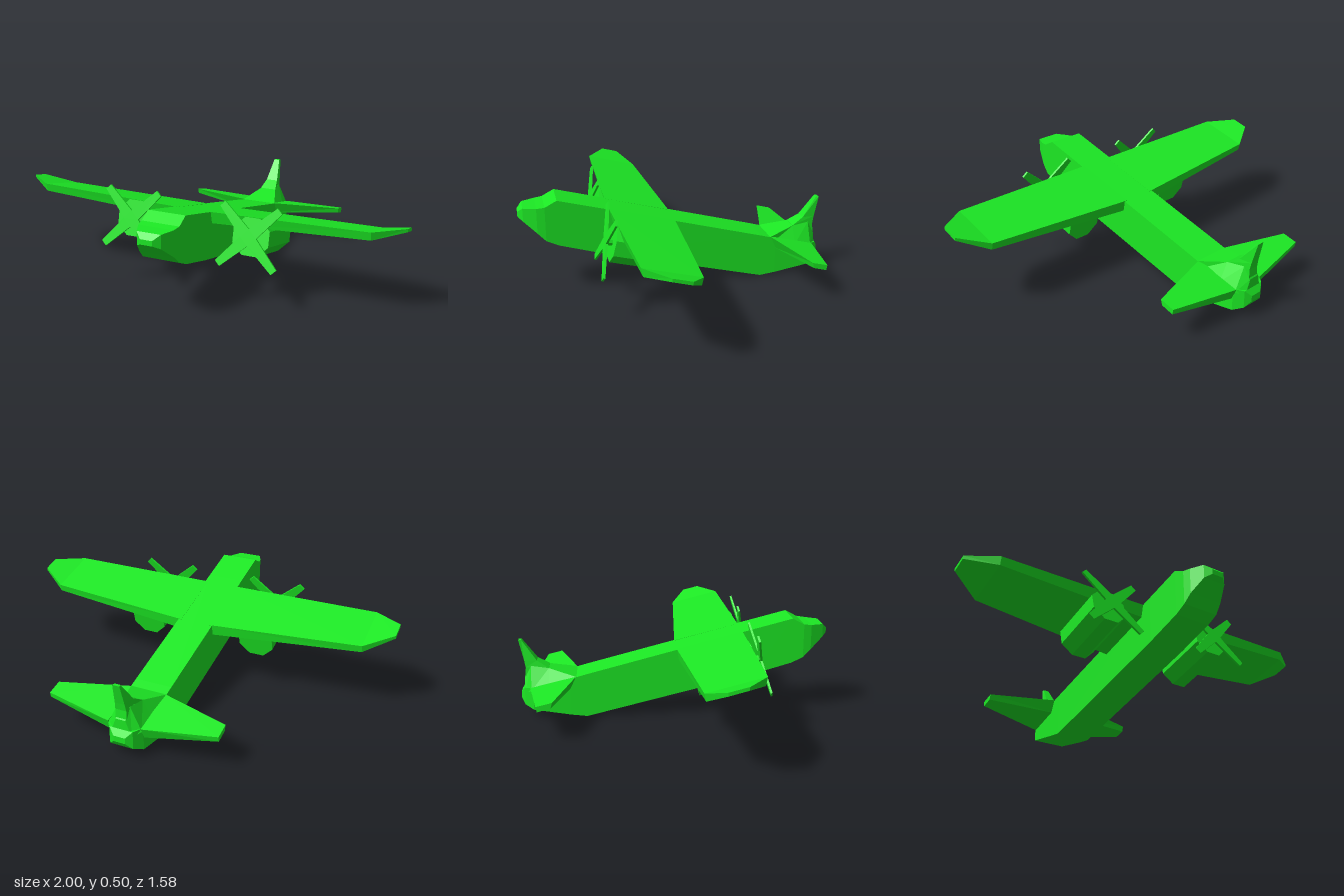
import * as THREE from 'three';

const material = new THREE.MeshStandardMaterial({ color: 0x1ce824, flatShading: true });

// Closed solid through a list of rings, each ring holding the same number of [x, y, z] corners.
function loft(name, rings) {
  const tris = [];
  const n = rings[0].length;
  for (let i = 0; i < rings.length - 1; i++) {
    for (let j = 0; j < n; j++) {
      const k = (j + 1) % n;
      const a = rings[i][j], b = rings[i][k], c = rings[i + 1][k], d = rings[i + 1][j];
      tris.push([a, b, c], [a, c, d]);
    }
  }
  const last = rings[rings.length - 1];
  for (let j = 1; j < n - 1; j++) {
    tris.push([rings[0][0], rings[0][j + 1], rings[0][j]], [last[0], last[j], last[j + 1]]);
  }
  // Turn all faces outward, whichever way the rings run
  let volume = 0;
  for (const [a, b, c] of tris) {
    volume += new THREE.Vector3(...a).dot(new THREE.Vector3(...b).cross(new THREE.Vector3(...c)));
  }
  if (volume < 0) tris.forEach((t) => t.reverse());
  const geometry = new THREE.BufferGeometry();
  geometry.setAttribute('position', new THREE.Float32BufferAttribute(tris.flat(2), 3));
  geometry.computeVertexNormals();
  const mesh = new THREE.Mesh(geometry, material);
  mesh.name = name;
  return mesh;
}

// Wing-like panel: stations of x followed by a [z, y] outline, mirrored by side
const panel = (name, side, stations) =>
  loft(name, stations.map(([x, outline]) => outline.map(([z, y]) => [side * x, y, z])));

// Box-section body; stations are [z, bottom, top, half width at bottom, half width at top]
const body = (name, stations) =>
  loft(name, stations.map(([z, b, t, wb, wt = wb]) => [[-wb, b, z], [wb, b, z], [wt, t, z], [-wt, t, z]]));

function propeller() {
  const star = new THREE.Shape();
  for (let i = 0; i < 4; i++) {
    const a = Math.PI / 4 + (i * Math.PI) / 2;
    const at = (r, t) => [r * Math.cos(t), r * Math.sin(t)];
    if (i === 0) star.moveTo(...at(0.2, a - 0.085));
    else star.lineTo(...at(0.2, a - 0.085));
    star.lineTo(...at(0.2, a + 0.085));
    star.lineTo(...at(0.04, a + Math.PI / 4));
  }
  const mesh = new THREE.Mesh(new THREE.ExtrudeGeometry(star, { depth: 0.01, bevelEnabled: false }), material);
  mesh.name = 'propeller';
  return mesh;
}

function engine(side) {
  const group = new THREE.Group();
  group.name = side > 0 ? 'leftEngine' : 'rightEngine';
  // Eight-sided nacelle with flat top and bottom
  const r = 0.09 / Math.cos(Math.PI / 8);
  const nacelle = new THREE.Mesh(
    new THREE.CylinderGeometry(r, r, 0.296, 8).rotateY(Math.PI / 8).rotateX(Math.PI / 2).translate(0, 0, -0.148),
    material);
  nacelle.name = 'nacelle';
  const shaft = new THREE.Mesh(new THREE.CylinderGeometry(0.02, 0.02, 0.04, 8).rotateX(Math.PI / 2), material);
  shaft.name = 'propellerShaft';
  shaft.position.z = 0.015;
  const blades = propeller();
  blades.position.z = 0.027;
  group.add(nacelle, shaft, blades);
  group.position.set(side * 0.31, 0.345, 0.365);
  group.rotation.x = -0.245;
  return group;
}

export function createModel() {
  const plane = new THREE.Group();
  plane.name = 'airplane';

  // Nose-up fuselage with stepped cockpit and blunt tail
  plane.add(body('fuselage', [
    [0.79, 0.405, 0.43, 0.03],
    [0.765, 0.388, 0.455, 0.06],
    [0.7, 0.33, 0.458, 0.088],
    [0.66, 0.29, 0.463, 0.095],
    [0.6, 0.262, 0.495, 0.095],
    [0.4, 0.205, 0.444, 0.095],
    [-0.45, 0, 0.225, 0.095],
    [-0.53, 0.01, 0.203, 0.095],
    [-0.72, 0.04, 0.155, 0.09],
    [-0.765, 0.06, 0.15, 0.06],
    [-0.785, 0.09, 0.12, 0.03],
  ]));

  // Fairing rising into the fin
  plane.add(body('finFairing', [
    [-0.5, 0.17, 0.212, 0.095],
    [-0.64, 0.16, 0.247, 0.094, 0.045],
    [-0.73, 0.14, 0.257, 0.088, 0.032],
    [-0.765, 0.12, 0.2, 0.055, 0.025],
  ]));

  // Swept fin, stacked upward: [y, front z, back z, front half width, back half width]
  plane.add(loft('fin', [
    [0.15, -0.62, -0.765, 0.05, 0.03],
    [0.248, -0.64, -0.758, 0.045, 0.028],
    [0.285, -0.7, -0.765, 0.032, 0.025],
    [0.39, -0.775, -0.79, 0.015, 0.018],
  ].map(([y, f, b, wf, wb]) => [[-wf, y, f], [wf, y, f], [wb, y, b], [-wb, y, b]])));

  for (const side of [1, -1]) {
    const label = side > 0 ? 'left' : 'right';
    plane.add(panel(label + 'Wing', side, [
      [0.08, [[0.345, 0.43], [0.01, 0.345], [0.02, 0.288], [0.33, 0.368]]],
      [0.86, [[0.327, 0.441], [0.062, 0.374], [0.07, 0.338], [0.318, 0.4]]],
      [1.0, [[0.228, 0.446], [0.14, 0.424], [0.143, 0.408], [0.226, 0.43]]],
    ]));
    plane.add(panel(label + 'Tailplane', side, [
      [0.085, [[-0.5, 0.213], [-0.735, 0.155], [-0.715, 0.1], [-0.53, 0.148]]],
      [0.44, [[-0.6, 0.2], [-0.677, 0.181], [-0.672, 0.155], [-0.608, 0.172]]],
    ]));
    plane.add(engine(side));
  }
  return plane;
}
